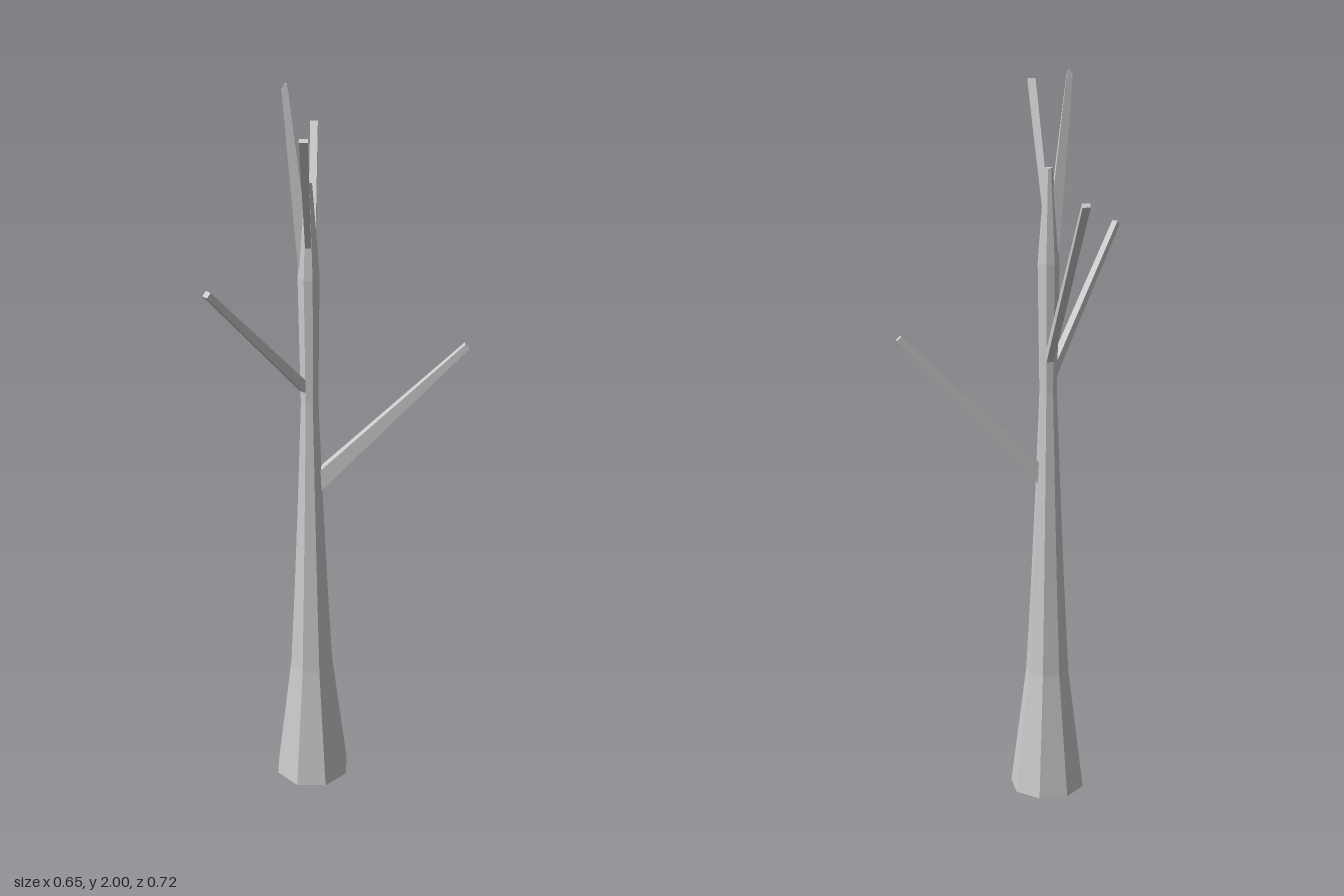
import * as THREE from 'three';

const material = new THREE.MeshStandardMaterial({ color: 0xcccccc, flatShading: true });
const CX = -0.083, CZ = 0.11; // trunk axis

// Square tapered limb: w = horizontal width, h = thickness, each [base, tip]
function limb(name, from, to, w, h) {
  const a = new THREE.Vector3(...from), b = new THREE.Vector3(...to);
  const dir = b.clone().sub(a).normalize();
  const side = new THREE.Vector3().crossVectors(dir, new THREE.Vector3(0, 1, 0)).normalize();
  const up = new THREE.Vector3().crossVectors(side, dir);
  const geo = new THREE.BoxGeometry(1, 1, 1);
  const pos = geo.attributes.position;
  const v = new THREE.Vector3();
  for (let i = 0; i < pos.count; i++) {
    const x = pos.getX(i), t = pos.getY(i) + 0.5, z = pos.getZ(i);
    v.lerpVectors(a, b, t)
      .addScaledVector(side, x * THREE.MathUtils.lerp(w[0], w[1], t))
      .addScaledVector(up, z * THREE.MathUtils.lerp(h[0], h[1], t));
    pos.setXYZ(i, v.x, v.y, v.z);
  }
  geo.computeVertexNormals();
  const mesh = new THREE.Mesh(geo, material);
  mesh.name = name;
  return mesh;
}

export function createModel() {
  const tree = new THREE.Group();
  tree.name = 'bareTree';

  // Eight-sided trunk: [half width across flats, height]
  const profile = [
    [0, 0], [0.095, 0], [0.055, 0.35], [0.043, 0.6], [0.032, 0.87],
    [0.022, 1.15], [0.024, 1.28], [0.027, 1.5], [0.01, 1.75], [0, 1.75],
  ].map(([r, y]) => new THREE.Vector2(r / Math.cos(Math.PI / 8), y));
  const trunk = new THREE.Mesh(new THREE.LatheGeometry(profile, 8, Math.PI / 8), material);
  trunk.name = 'trunk';
  trunk.position.set(CX, 0, CZ);
  tree.add(trunk);

  // Branches, from lowest to highest
  tree.add(
    limb('leftBranch', [-0.07, 0.91, CZ], [0.316, 1.314, CZ], [0.028, 0.017], [0.044, 0.016]),
    limb('frontRightBranch', [-0.095, 1.197, 0.122], [-0.317, 1.555, 0.344], [0.02, 0.017], [0.026, 0.016]),
    limb('backBranch', [CX, 1.245, 0.095], [CX, 1.736, -0.355], [0.019, 0.02], [0.026, 0.013]),
    limb('frontBranch', [CX, 1.575, 0.115], [CX, 1.947, 0.356], [0.014, 0.021], [0.018, 0.011]),
    // Flattened twig carrying on above the trunk
    limb('topTwig', [-0.092, 1.53, CZ], [-0.136, 1.985, CZ], [0.026, 0.004], [0.034, 0.016]),
  );
  // Slanted tip of the twig
  tree.add(limb('topTwigTip', [-0.136, 1.985, CZ], [-0.134, 2, CZ], [0.004, 0.003], [0.016, 0.006]));
  return tree;
}
